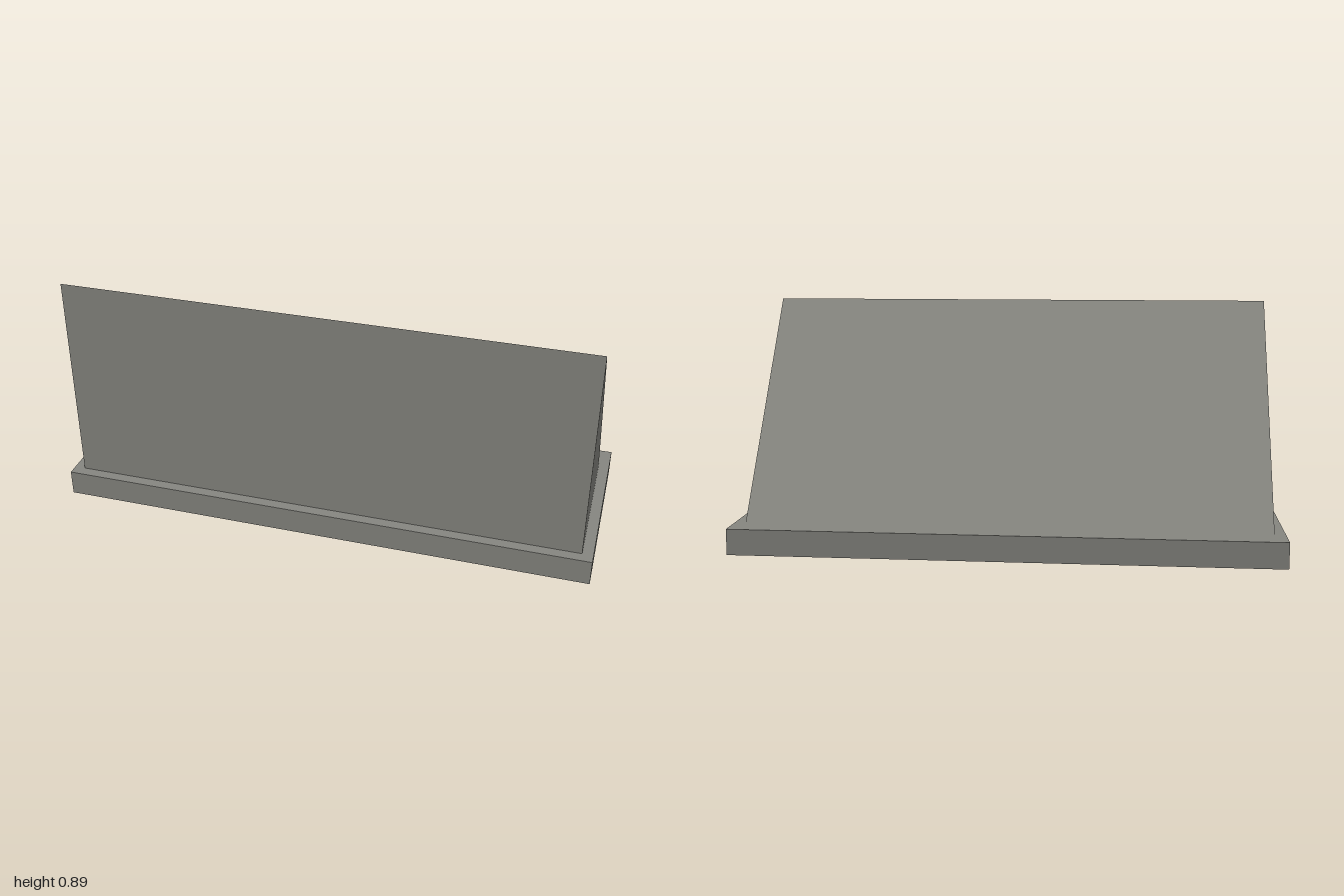
import * as THREE from 'three';

export function createModel() {
  const model = new THREE.Group();
  const concrete = new THREE.MeshStandardMaterial({ color: 0x868680 });
  concrete.name = 'concrete grey';

  // flat base slab
  const base = new THREE.Mesh(new THREE.BoxGeometry(2, 0.096, 0.72), concrete);
  base.name = 'baseSlab';
  base.position.y = 0.048;

  // wedge: a box whose top back edge drops to the bottom, so its top becomes the slope
  const bottom = 0.006, top = 0.888;
  const geometry = new THREE.BoxGeometry(1.92, top - bottom, 0.64);
  geometry.translate(0, (top + bottom) / 2, 0);
  const p = geometry.attributes.position;
  for (let i = 0; i < p.count; i++) {
    if (p.getZ(i) < 0) p.setY(i, bottom);
  }
  const wedge = new THREE.Mesh(geometry, concrete);
  wedge.name = 'slopedWedge';

  model.add(base, wedge);
  return model;
}
